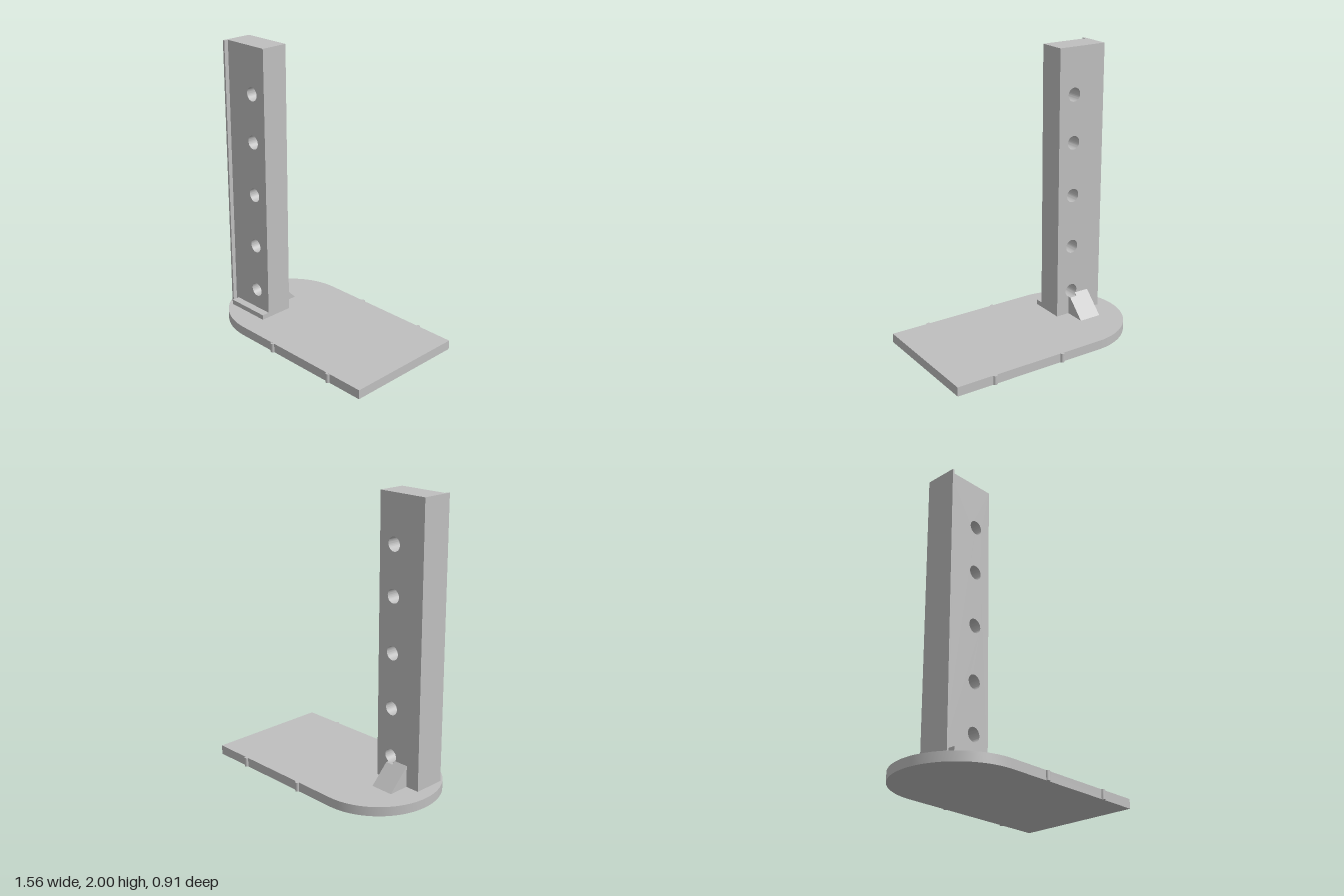
import * as THREE from 'three';
import { toCreasedNormals } from 'three/addons/utils/BufferGeometryUtils.js';

export function createModel() {
  const group = new THREE.Group();
  const grey = new THREE.MeshStandardMaterial({ color: 0xbfbfbf });
  grey.name = 'plain grey';

  const add = (name, geometry) => {
    const mesh = new THREE.Mesh(geometry, grey);
    mesh.name = name;
    group.add(mesh);
    return mesh;
  };
  const extrude = (shape, depth) => toCreasedNormals(
    new THREE.ExtrudeGeometry(shape, { depth, bevelEnabled: false, curveSegments: 32 }), 0.5);
  const box = (name, x0, x1, y0, y1, z0, z1) =>
    add(name, new THREE.BoxGeometry(x1 - x0, y1 - y0, z1 - z0))
      .position.set((x0 + x1) / 2, (y0 + y1) / 2, (z0 + z1) / 2);

  const thick = 0.065, half = 0.44, end = 0.78;

  // Base plate with one rounded end
  const plate = new THREE.Shape();
  plate.moveTo(-end + half, -half);
  plate.lineTo(end, -half);
  plate.lineTo(end, half);
  plate.lineTo(-end + half, half);
  plate.absarc(-end + half, 0, half, Math.PI / 2, Math.PI * 1.5, false);
  add('basePlate', extrude(plate, thick).rotateX(-Math.PI / 2));

  // Small round ribs on both long edges
  for (const x of [-0.03, 0.5]) {
    for (const side of [-1, 1]) {
      add('edgeRib', new THREE.CylinderGeometry(0.015, 0.015, thick - 0.001, 20))
        .position.set(x, thick / 2, side * half);
    }
  }

  // Upright column with a row of through holes
  const left = -0.685, right = -0.32, back = 0.025, front = 0.22;
  const column = new THREE.Shape();
  column.moveTo(left, thick);
  column.lineTo(right, thick);
  column.lineTo(right, 2);
  column.lineTo(left, 2);
  column.closePath();
  for (const y of [0.24, 0.58, 0.96, 1.34, 1.675]) {
    const hole = new THREE.Path();
    hole.absarc(-0.44, y, 0.048, 0, Math.PI * 2, true);
    column.holes.push(hole);
  }
  add('column', extrude(column, front - back).translate(0, 0, back));

  // Thin lip along the column edge and the low ledge at its foot
  box('columnLip', left, -0.67, thick, 2, front, 0.25);
  box('footLedge', -0.65, right, thick, 0.1, front, 0.275);

  // Sloped brace behind the column, cut lower beside the bottom hole
  const brace = (name, x0, x1, top) => {
    const high = 0.215;
    const s = new THREE.Shape();
    s.moveTo(-back, thick);
    s.lineTo(-back + high - thick, thick);
    s.lineTo(-back + high - top, top);
    if (top < high) s.lineTo(-back, top);
    s.closePath();
    add(name, extrude(s, x1 - x0).rotateY(Math.PI / 2).translate(x0, 0, 0));
  };
  brace('brace', -0.585, -0.475, 0.215);
  brace('braceCut', -0.475, -0.42, 0.195);

  return group;
}
